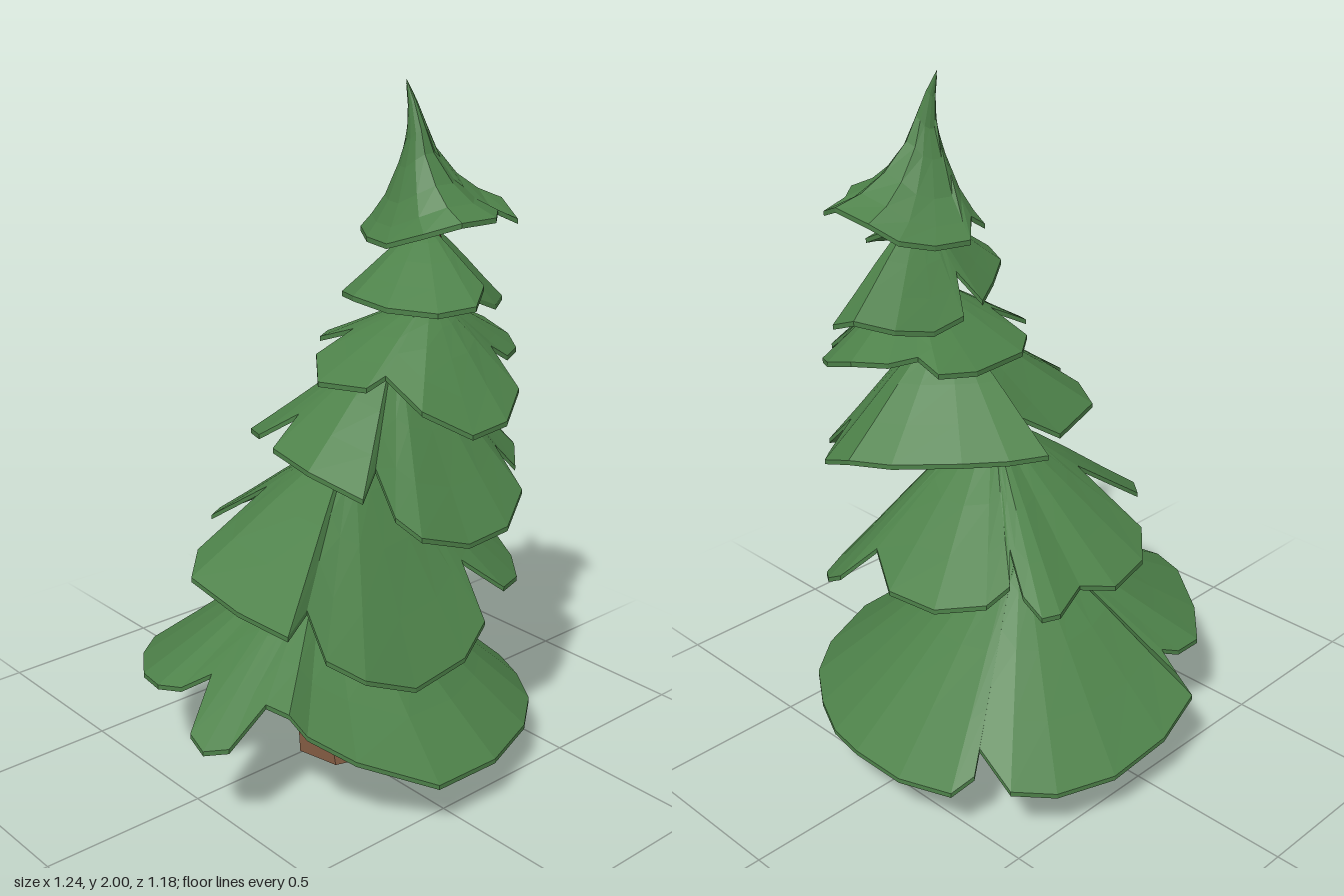
import * as THREE from 'three';

const needleGreen = new THREE.MeshStandardMaterial({ color: 0x4d8149, flatShading: true });
needleGreen.name = 'needleGreen';
const barkBrown = new THREE.MeshStandardMaterial({ color: 0x7d5840, flatShading: true });
barkBrown.name = 'barkBrown';

// Skins a stack of equal-sized loops (each running from +x towards +z, listed top to bottom).
function skin(loops, name, material) {
  const n = loops[0].length;
  const index = [];
  for (let r = 0; r < loops.length - 1; r++) {
    for (let i = 0; i < n; i++) {
      const a = r * n + i, b = r * n + ((i + 1) % n);
      index.push(a, b, b + n, a, b + n, a + n);
    }
  }
  const geometry = new THREE.BufferGeometry();
  geometry.setAttribute('position', new THREE.Float32BufferAttribute(loops.flat(2), 3));
  geometry.setIndex(index);
  geometry.computeVertexNormals();
  const mesh = new THREE.Mesh(geometry, material);
  mesh.name = name;
  return mesh;
}

// Profile rows: share of the way out to the rim, share of the drop, forward bend.
const skirt = [[0, 0, 0], [0.13, 0.045, 0], [0.28, 0.19, 0], [0.5, 0.43, 0], [0.75, 0.72, 0], [1, 1, 0]];
const spire = [[0, 0, 0], [0.06, 0.17, 0.02], [0.14, 0.37, 0.03], [0.26, 0.55, 0.02],
  [0.5, 0.77, 0.01], [0.75, 0.91, 0], [1, 1, 0]];

// Drop and bend of a profile at any share of the way out.
function sample(profile, f) {
  const i = Math.max(1, profile.findIndex((row) => row[0] >= f - 1e-6));
  const [a, b] = [profile[i - 1], profile[i]];
  const t = (f - a[0]) / (b[0] - a[0]);
  return [a[1] + (b[1] - a[1]) * t, a[2] + (b[2] - a[2]) * t];
}

// A thin hanging sheet of foliage. Rim entries are lobe points [x, y, z] or
// notches [x, z], which are cut into the cone spanned by the lobes beside them.
function foliage(name, [ax, ay, az], rim, profile = skirt, thickness = 0.014) {
  const n = rim.length;
  const reach = ([x, , z]) => Math.hypot(x - ax, z - az);
  const spokes = rim.map((p, i) => {
    if (p.length === 3) return { x: p[0] - ax, z: p[2] - az, drop: ay - p[1] - thickness, cut: 1 };
    const before = rim[(i + n - 1) % n], after = rim[(i + 1) % n];
    const [x, z] = [p[0] - ax, p[1] - az];
    const cut = Math.min(1, 2 * Math.hypot(x, z) / (reach(before) + reach(after)));
    return { x, z, drop: ay - (before[1] + after[1]) / 2 - thickness, cut };
  });
  const top = profile.map(([s]) => spokes.map(({ x, z, drop, cut }) => {
    const [fall, bend] = sample(profile, s * cut);
    return [ax + x * s, ay - drop * fall, az + z * s + bend];
  }));
  const under = top.map((loop) => loop.map(([x, y, z]) => [x, y - thickness, z])).reverse();
  return skin([...top, ...under], name, needleGreen);
}

export function createModel() {
  const tree = new THREE.Group();
  tree.name = 'pineTree';

  // Crooked six-sided trunk: centre and radius from top to bottom
  const spine = [[0.19, 1.74, 0.19, 0.028], [0.2, 1.5, 0.2, 0.036], [0.16, 1.28, 0.2, 0.044],
    [0.1, 1, 0.12, 0.052], [0.02, 0.62, -0.01, 0.08], [0.01, 0.16, 0, 0.112], [0.02, 0, 0.035, 0.135]];
  const capped = [[...spine[0].slice(0, 3), 0], ...spine, [...spine[6].slice(0, 3), 0]];
  tree.add(skin(capped.map(([x, y, z, r]) => Array.from({ length: 6 }, (_, i) => {
    const a = (i + 0.3) * Math.PI / 3;
    return [x + r * Math.cos(a), y, z + r * Math.sin(a)];
  })), 'trunk', barkBrown));

  // Foliage tiers, bottom to top; each rim runs from +x round the front
  tree.add(foliage('lowestTier', [0.02, 0.63, -0.04], [
    [0.62, 0.13, 0.03], [0.6, 0.13, 0.15], [0.54, 0.135, 0.28], [0.45, 0.14, 0.41], [0.32, 0.14, 0.51],
    [0.11, 0.145, 0.59], [-0.11, 0.15, 0.59], [-0.29, 0.23, 0.45], [-0.38, 0.3, 0.35],
    [-0.41, 0.36, 0.31], [-0.43, 0.235], [-0.57, 0.29, 0.25], [-0.62, 0.28, 0.2], [-0.61, 0.3, 0.13],
    [-0.46, 0.03], [-0.53, 0.35, -0.02], [-0.56, 0.34, -0.09], [-0.54, 0.33, -0.19],
    [-0.44, 0.3, -0.34], [-0.33, 0.28, -0.44], [-0.24, 0.28, -0.44], [-0.185, -0.42],
    [-0.19, 0.24, -0.48], [-0.16, 0.22, -0.56], [0, 0.17, -0.59], [0.2, 0.14, -0.58],
    [0.37, 0.14, -0.52], [0.47, 0.16, -0.44], [0.46, -0.31], [0.51, 0.18, -0.34],
    [0.58, 0.15, -0.32], [0.62, 0.13, -0.15],
  ]));

  tree.add(foliage('secondTier', [0.05, 0.98, 0.05], [
    [0.5, 0.62, 0], [0.43, 0.13], [0.51, 0.59, 0.2], [0.5, 0.55, 0.27], [0.45, 0.52, 0.34],
    [0.35, 0.53, 0.38], [0.23, 0.32], [0.22, 0.48, 0.43], [0.1, 0.42, 0.47], [-0.1, 0.4, 0.48],
    [-0.25, 0.46, 0.44], [-0.33, 0.52, 0.37], [-0.32, 0.28], [-0.42, 0.6, 0.32], [-0.44, 0.61, 0.13],
    [-0.44, 0.64, -0.08], [-0.35, 0.67, -0.17], [-0.13, -0.12], [-0.18, 0.68, -0.33],
    [-0.08, 0.65, -0.42], [0.07, 0.64, -0.45], [0.16, 0.66, -0.4], [0.28, 0.64, -0.44],
    [0.33, 0.64, -0.42], [0.32, 0.67, -0.34], [0.26, -0.23], [0.32, 0.68, -0.29],
    [0.4, 0.65, -0.28], [0.48, 0.62, -0.16],
  ]));

  tree.add(foliage('thirdTier', [0.12, 1.285, 0.15], [
    [0.45, 0.98, 0.03], [0.5, 0.97, 0.15], [0.48, 0.92, 0.28], [0.4, 0.89, 0.36], [0.32, 0.35],
    [0.32, 0.87, 0.46], [0.2, 0.81, 0.52], [0.05, 0.8, 0.52], [-0.1, 0.85, 0.49], [-0.14, 0.9, 0.43],
    [-0.13, 0.34], [-0.22, 0.96, 0.39], [-0.28, 1.01, 0.24], [-0.27, 1.03, 0.08], [-0.16, 0.06],
    [-0.23, 1.03, -0.03], [-0.18, 1.01, -0.13], [0.02, 1, -0.19], [0.13, -0.14],
    [0.14, 1, -0.26], [0.24, 1, -0.21], [0.34, 1, -0.13],
  ]));

  tree.add(foliage('fourthTier', [0.18, 1.41, 0.22], [
    [0.44, 1.27, 0.04], [0.5, 1.27, 0.12], [0.5, 1.24, 0.22], [0.46, 1.22, 0.29], [0.38, 1.22, 0.33],
    [0.31, 0.33], [0.3, 1.17, 0.45], [0.18, 1.12, 0.52], [0.05, 1.11, 0.52], [-0.06, 1.18, 0.44],
    [-0.06, 0.3], [-0.12, 1.22, 0.29], [-0.16, 1.21, 0.14], [-0.08, 1.25, 0.04], [0.03, 0.07],
    [0.02, 1.26, -0.06], [0.1, 1.25, -0.12], [0.28, 1.25, -0.13], [0.38, 1.26, -0.09], [0.37, 1.28, 0],
  ]));

  tree.add(foliage('fifthTier', [0.19, 1.61, 0.18], [
    [0.5, 1.39, 0.1], [0.49, 1.35, 0.2], [0.4, 1.35, 0.26], [0.26, 1.41, 0.265], [0.22, 1.55, 0.235],
    [0.19, 1.47, 0.41], [0.1, 1.44, 0.47], [0, 1.43, 0.43], [-0.06, 1.43, 0.3], [-0.07, 1.44, 0.18],
    [-0.03, 1.43, 0.09], [0.05, 1.4, 0.04], [0.14, 1.38, -0.01], [0.18, 0.05], [0.22, 1.36, -0.02],
    [0.32, 1.34, -0.01], [0.42, 1.36, 0.03],
  ]));

  tree.add(foliage('topSpire', [0.165, 2, 0.125], [
    [0.42, 1.63, 0.12], [0.43, 1.65, 0.24], [0.39, 1.61, 0.34], [0.33, 1.64, 0.32], [0.25, 1.64, 0.39],
    [0.13, 1.64, 0.38], [0.06, 1.61, 0.31], [0.03, 1.57, 0.2], [0.05, 1.57, 0.1], [0.1, 1.58, 0.02],
    [0.15, 0.02], [0.2, 1.57, -0.03], [0.3, 1.57, 0], [0.38, 1.59, 0.05],
  ], spire));

  return tree;
}
